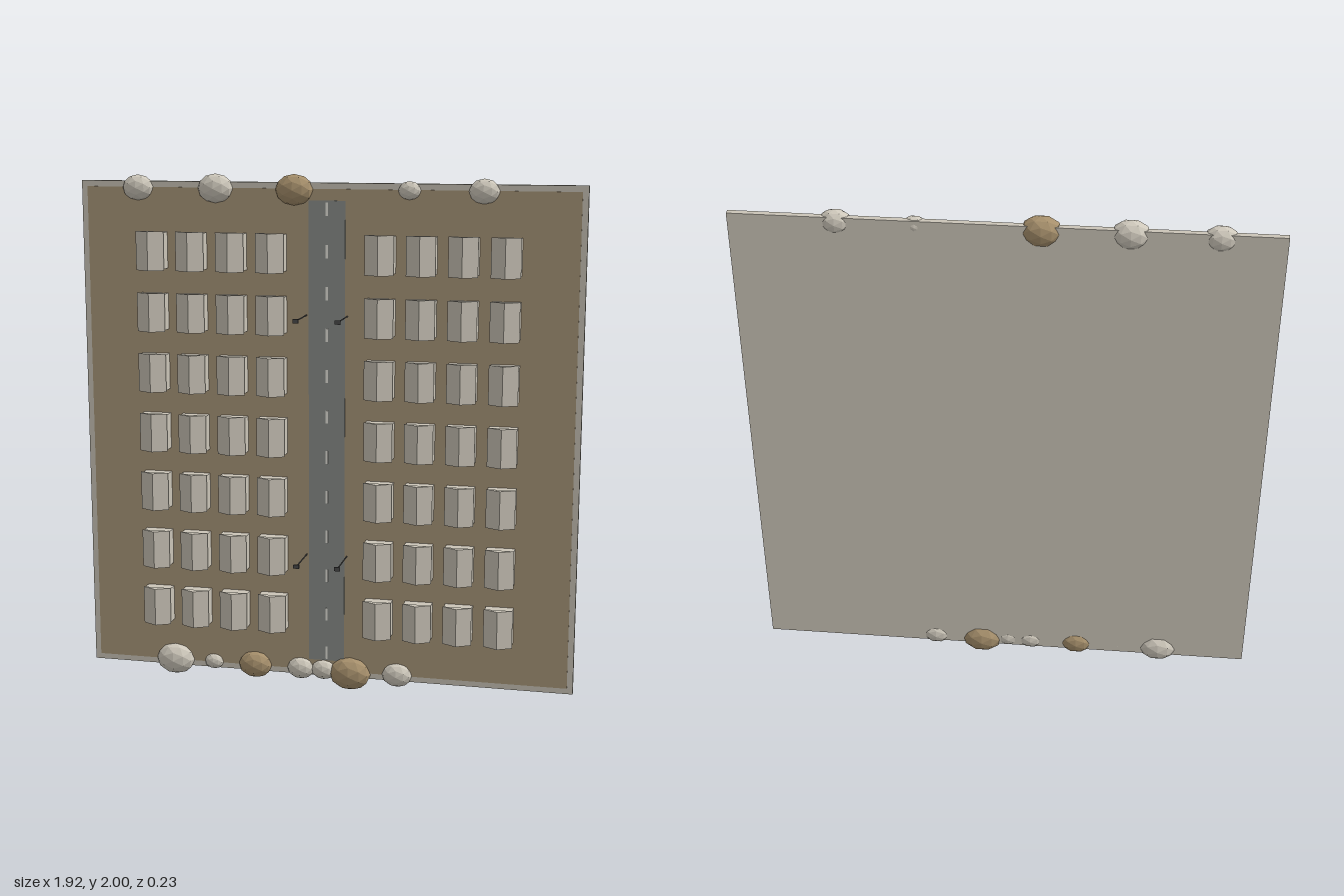
import * as THREE from 'three';

const mat = (name, color, flatShading = false) => {
  const m = new THREE.MeshStandardMaterial({ color, flatShading });
  m.name = name;
  return m;
};

export function createModel() {
  const model = new THREE.Group();
  model.name = 'settlementPanel';
  const stone = mat('paleStone', 0xcbc5b8);
  const earth = mat('brownEarth', 0xa9977a);
  const asphalt = mat('greyAsphalt', 0x8a8e8b);
  const white = mat('whitePaint', 0xe6e4dc);
  const dark = mat('darkMetal', 0x4a4a4a);
  const paleRock = mat('paleRock', 0xd0cabd, true);
  const brownRock = mat('brownRock', 0xa8916d, true);

  const add = (parent, name, geometry, material, x = 0, y = 0, z = 0) => {
    const mesh = new THREE.Mesh(geometry, material);
    mesh.name = name;
    mesh.position.set(x, y, z);
    parent.add(mesh);
    return mesh;
  };
  const box = (parent, name, w, h, d, material, x, y, z) =>
    add(parent, name, new THREE.BoxGeometry(w, h, d), material, x, y, z);

  // Upright slab with the ground, road and lane dashes on its front
  const midY = 1.01, face = -0.067;
  box(model, 'slab', 1.92, 1.92, 0.023, stone, 0, midY, face - 0.0115);
  box(model, 'ground', 1.875, 1.875, 0.004, earth, 0, midY, face + 0.001);
  box(model, 'road', 0.14, 1.79, 0.004, asphalt, 0, midY, face + 0.003);
  for (let i = 0; i < 12; i++) {
    box(model, 'laneDash', 0.009, 0.05, 0.003, white, 0, midY + (i - 5.5) * 0.157, face + 0.005);
  }

  // Houses: walls stand out along +z, gabled roof on top with its ridge along y
  const gable = new THREE.Shape([
    new THREE.Vector2(-0.055, 0), new THREE.Vector2(0.055, 0), new THREE.Vector2(0, 0.029),
  ]);
  const roof = new THREE.ExtrudeGeometry(gable, { depth: 0.148, bevelEnabled: false });
  roof.translate(0, 0, -0.074).rotateX(Math.PI / 2);
  const walls = new THREE.BoxGeometry(0.106, 0.138, 0.058);
  for (let row = 0; row < 7; row++) {
    for (const column of [0.208, 0.363, 0.519, 0.675]) {
      for (const side of [-1, 1]) {
        const house = new THREE.Group();
        house.name = 'house';
        house.position.set(side * column, 0.31 + row * 0.2335, -0.01);
        add(house, 'walls', walls, stone, 0, 0, -0.029);
        add(house, 'roof', roof, stone);
        model.add(house);
      }
    }
  }

  // Street lamps on both sides of the road
  const pole = new THREE.CylinderGeometry(0.0025, 0.0025, 0.178, 8).rotateX(Math.PI / 2);
  for (const y of [0.542, 1.476]) {
    for (const side of [-1, 1]) {
      add(model, 'lampPole', pole, dark, side * 0.079, y, 0.023);
      box(model, 'lampHead', 0.022, 0.015, 0.006, dark, side * 0.079, y, 0.113);
    }
  }

  // Faceted boulders along both edges: x, y, radius, brown
  const boulder = new THREE.IcosahedronGeometry(1, 1);
  const boulders = [
    [-0.735, 1.945, 0.061, 0], [-0.43, 1.945, 0.069, 0], [-0.125, 1.943, 0.073, 1],
    [0.31, 1.945, 0.043, 0], [0.585, 1.945, 0.058, 0],
    [-0.62, 0.076, 0.079, 0], [-0.46, 0.076, 0.039, 0], [-0.29, 0.076, 0.068, 1],
    [-0.105, 0.075, 0.055, 0], [-0.013, 0.075, 0.05, 0], [0.093, 0.067, 0.083, 1],
    [0.28, 0.075, 0.06, 0],
  ];
  for (const [x, y, r, brown] of boulders) {
    add(model, 'boulder', boulder, brown ? brownRock : paleRock, x, y, face)
      .scale.set(r, r * 0.8, r * 0.6);
  }
  return model;
}
